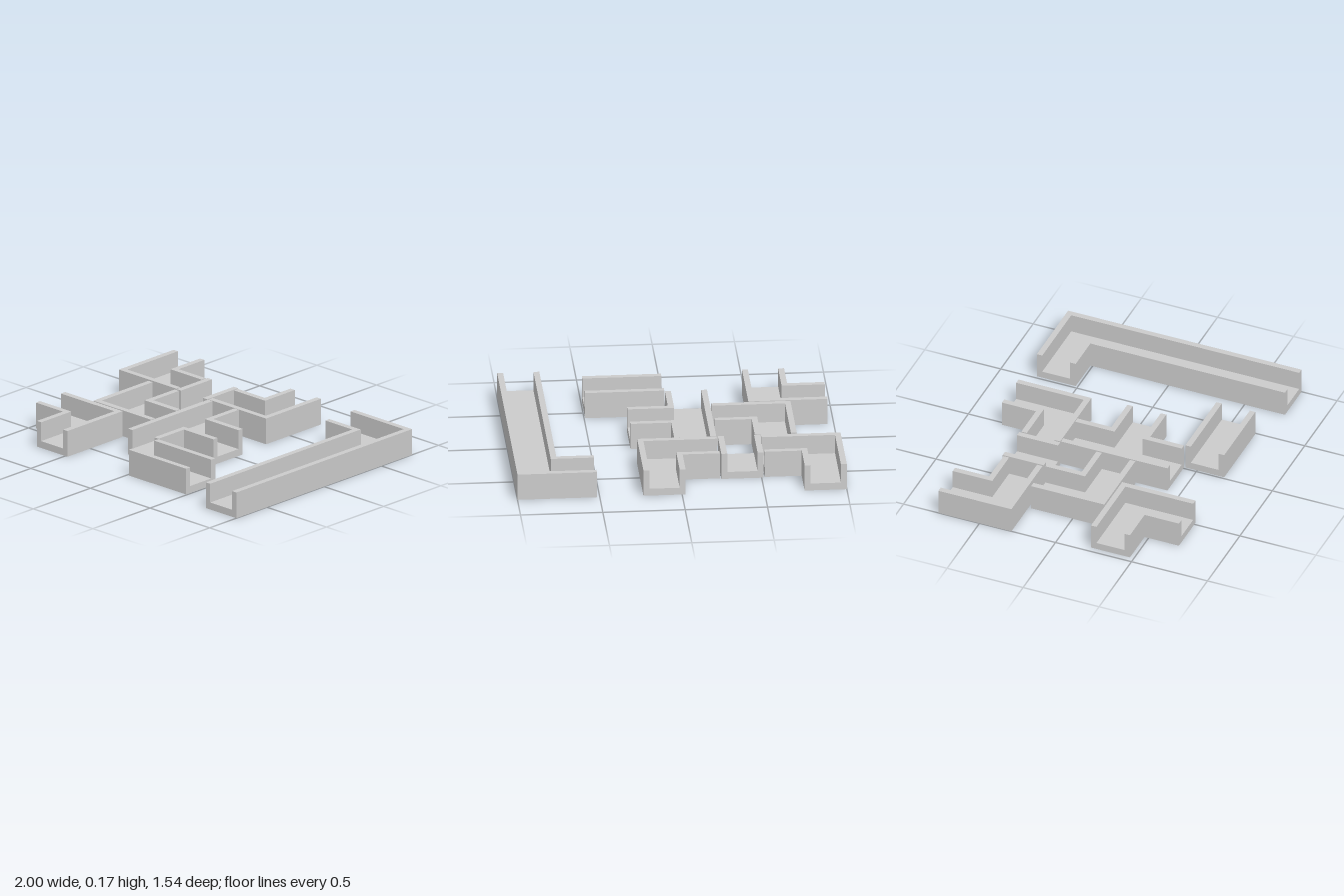
import * as THREE from 'three';
import { mergeGeometries } from 'three/addons/utils/BufferGeometryUtils.js';

const HALF = 0.128;   // half the channel width
const WALL = 0.036;   // wall thickness
const FLOOR = 0.045;  // floor thickness
const HEIGHT = 0.166; // overall height

// Offsets a right-angled [x, z] path sideways, with mitred corners.
function offsetPath(path, distance) {
  const points = path.map(([x, z]) => new THREE.Vector2(x, z));
  const normals = points.slice(1).map((p, i) => {
    const d = p.clone().sub(points[i]).normalize();
    return new THREE.Vector2(-d.y, d.x);
  });
  return points.map((p, i) => {
    const n = normals[Math.min(i, normals.length - 1)].clone();
    if (i > 0 && i < normals.length) n.add(normals[i - 1]);
    return p.clone().addScaledVector(n, distance);
  });
}

// Solid strip between two offsets of a path, from height y0 to y1.
function strip(path, a, b, y0, y1) {
  const outline = [...offsetPath(path, a), ...offsetPath(path, b).reverse()];
  const geometry = new THREE.ExtrudeGeometry(new THREE.Shape(outline), {
    depth: y1 - y0, bevelEnabled: false,
  });
  return geometry.rotateX(Math.PI / 2).translate(0, y1, 0);
}

const floor = (path) => strip(path, -HALF, HALF, 0, FLOOR);
const rightWall = (path) => strip(path, -HALF, -HALF + WALL, FLOOR, HEIGHT);
const leftWall = (path) => strip(path, HALF - WALL, HALF, FLOOR, HEIGHT);
const channel = (path) => [floor(path), rightWall(path), leftWall(path)];

export function createModel() {
  const model = new THREE.Group();
  model.name = 'channelPieces';
  const material = new THREE.MeshStandardMaterial({ color: 0xcccccc, flatShading: true });

  const add = (name, parts) => {
    const mesh = new THREE.Mesh(mergeGeometries(parts), material);
    mesh.name = name;
    model.add(mesh);
  };

  // Open U-channels, each following its centre line
  const channels = {
    cornerBackLeft: [[-0.872, -0.77], [-0.872, -0.418], [-0.52, -0.418]],
    shortStraight: [[-0.383, -0.556], [-0.383, -0.286]],
    cornerBackMiddle: [[0.107, -0.77], [0.107, -0.418], [-0.247, -0.418]],
    cornerMiddle: [[-0.608, -0.273], [-0.608, 0.08], [-0.255, 0.08]],
    cornerFront: [[-0.963, 0.346], [-0.609, 0.346], [-0.609, 0.7]],
    straight: [[0.013, 0.55], [0.493, 0.55]],
    longCorner: [[0.517, -0.642], [0.872, -0.642], [0.872, 0.766]],
  };
  for (const [name, path] of Object.entries(channels)) add(name, channel(path));

  // Tee junction: a through channel with a side branch opening into it
  const back = [-0.118, -0.286];
  const front = [-0.118, 0.415];
  const centre = [-0.118, 0.065];
  const branch = [0.257, 0.065];
  add('teeJunction', [
    floor([back, front]),
    floor([[centre[0] + HALF, centre[1]], branch]),
    leftWall([back, front]),
    rightWall([back, centre, branch]),
    rightWall([branch, centre, front]),
  ]);

  return model;
}
